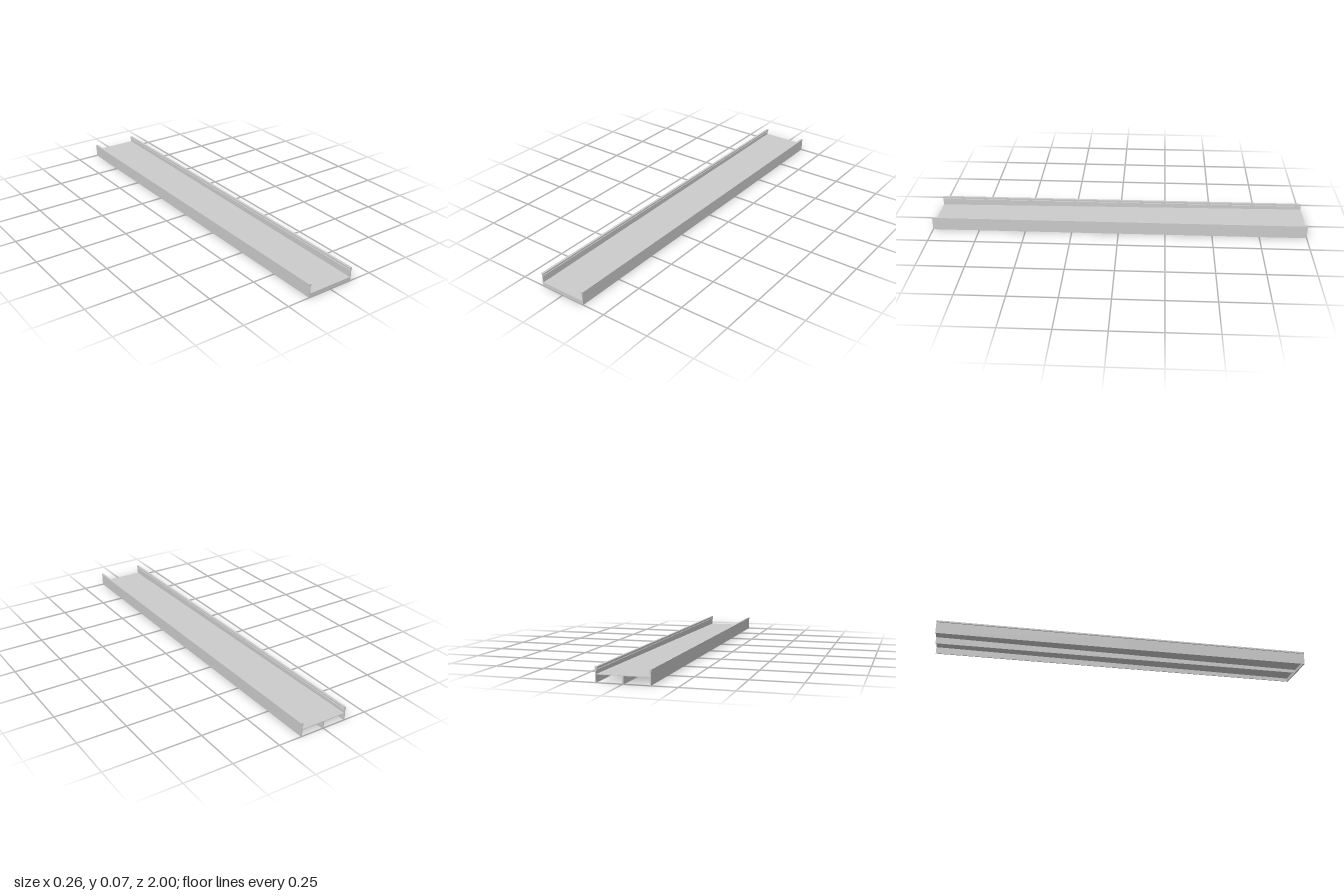
import * as THREE from 'three';

const material = new THREE.MeshStandardMaterial({ color: 0xcccccc, flatShading: true });

// Extrude a closed outline of [x, y] points along z, starting at z0.
function extrude(name, points, z0, depth) {
  const shape = new THREE.Shape(points.map(([x, y]) => new THREE.Vector2(x, y)));
  const geometry = new THREE.ExtrudeGeometry(shape, { depth, bevelEnabled: false });
  geometry.translate(0, 0, z0);
  const mesh = new THREE.Mesh(geometry, material);
  mesh.name = name;
  return mesh;
}

// Extrude a side outline of [z, y] points across x, centred on x = 0.
function extrudeAcross(name, points, width) {
  const mesh = extrude(name, points.map(([z, y]) => [-z, y]), -width / 2, width);
  mesh.geometry.rotateY(Math.PI / 2);
  return mesh;
}

export function createModel() {
  const model = new THREE.Group();
  model.name = 'slopedChannel';

  const frontY = 0.021, backY = 0.039, thickness = 0.003;

  // Thin floor rising from front to back
  model.add(extrudeAcross('floor', [
    [1, frontY - thickness], [1, frontY], [-1, backY], [-1, backY - thickness],
  ], 0.245));

  // Tapered rib under the middle of the floor
  model.add(extrudeAcross('centreRib', [
    [0.995, 0], [0.995, frontY - thickness], [-1, backY - thickness], [-1, 0],
  ], 0.006));

  // Plate closing the low front end
  model.add(extrude('frontPlate', [
    [-0.123, 0], [0.123, 0], [0.123, frontY], [-0.123, frontY],
  ], 0.994, 0.006));

  // Side walls with a wider cap and a small lip on the inner face, in two lengths
  const wall = [
    [0.123, 0], [0.128, 0], [0.128, 0.062], [0.131, 0.063], [0.131, 0.071],
    [0.119, 0.071], [0.119, 0.063], [0.123, 0.062], [0.123, 0.059],
    [0.120, 0.058], [0.120, 0.053], [0.123, 0.052],
  ];
  for (const [side, label] of [[1, 'left'], [-1, 'right']]) {
    const outline = wall.map(([x, y]) => [side * x, y]);
    model.add(extrude(label + 'WallFront', outline, 0, 1));
    model.add(extrude(label + 'WallBack', outline, -1, 1));
  }

  return model;
}
